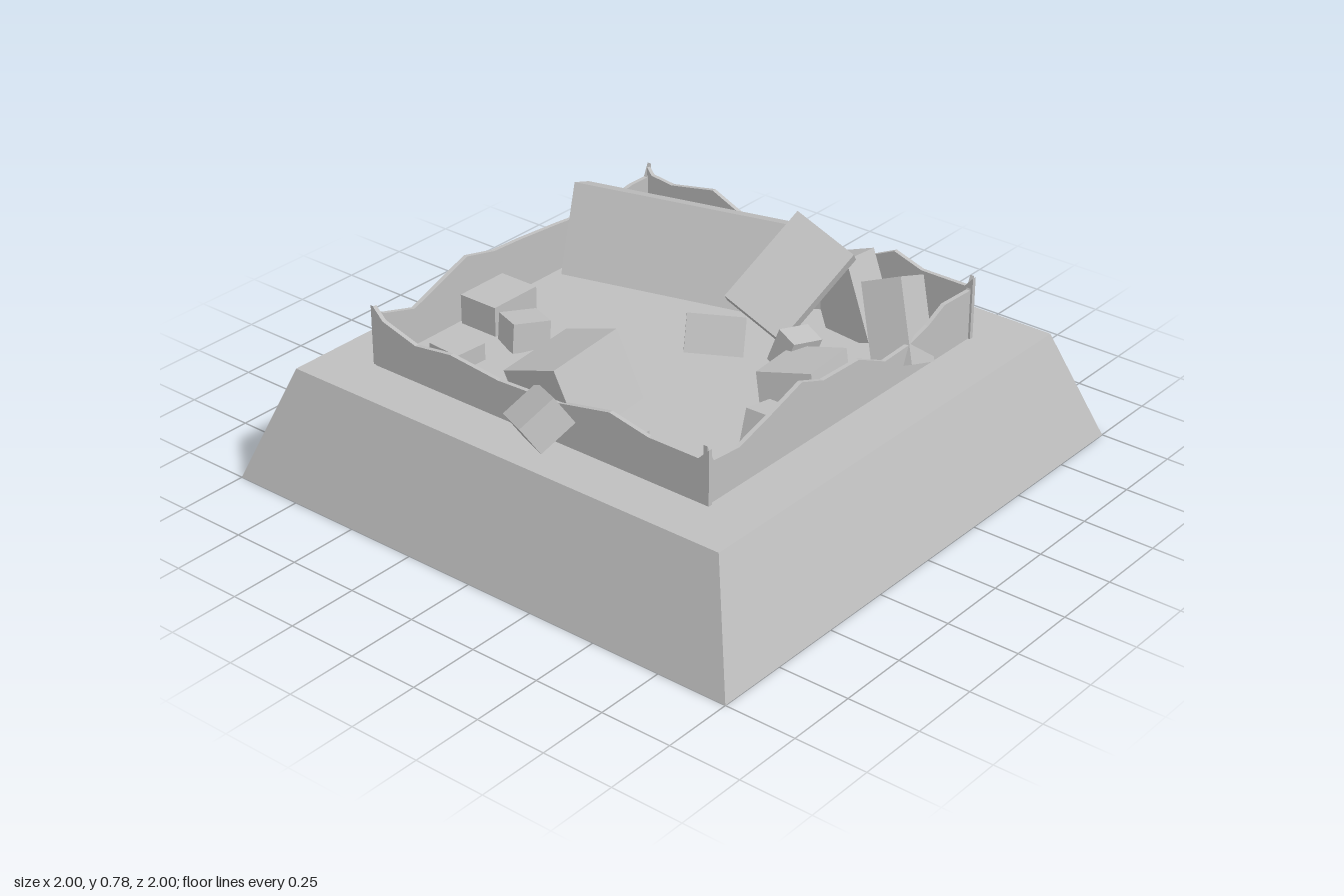
import * as THREE from 'three';

const FLOOR = 0.39;

export function createModel() {
  const model = new THREE.Group();
  const stone = new THREE.MeshStandardMaterial({ color: 0xbfbfbf, flatShading: true, side: THREE.DoubleSide });

  const add = (name, geometry, parent = model) => {
    const mesh = new THREE.Mesh(geometry, stone);
    mesh.name = name;
    parent.add(mesh);
    return mesh;
  };

  // Sloping base, open underneath, with a flat top
  const slope = new THREE.CylinderGeometry(0.86 * Math.SQRT2, Math.SQRT2, FLOOR, 4, 1, true);
  slope.rotateY(Math.PI / 4).translate(0, FLOOR / 2, 0);
  add('baseSlope', slope);
  add('baseTop', new THREE.PlaneGeometry(1.72, 1.72).rotateX(-Math.PI / 2).translate(0, FLOOR, 0));

  // Thin walls with a broken upper edge, given as [distance along, height]
  const wall = (name, profile, turn, x, z) => {
    const shape = new THREE.Shape();
    shape.moveTo(-0.68, FLOOR);
    profile.forEach(([u, y]) => shape.lineTo(u, y));
    shape.lineTo(0.68, FLOOR);
    const geometry = new THREE.ExtrudeGeometry(shape, { depth: 0.015, bevelEnabled: false });
    geometry.translate(0, 0, -0.0075).rotateY(turn).translate(x, 0, z);
    add(name, geometry);
  };
  wall('frontWall', [[-0.68, 0.59], [-0.65, 0.53], [-0.53, 0.52], [-0.39, 0.56], [-0.23, 0.61], [-0.12, 0.57],
    [0.06, 0.565], [0.2, 0.5], [0.33, 0.505], [0.43, 0.53], [0.52, 0.57], [0.66, 0.565], [0.68, 0.61]], 0, 0, 0.665);
  wall('backWall', [[-0.68, 0.6], [-0.64, 0.56], [-0.5, 0.52], [-0.25, 0.61], [-0.12, 0.58], [0, 0.575],
    [0.2, 0.56], [0.4, 0.54], [0.58, 0.565], [0.66, 0.565], [0.68, 0.61]], 0, 0, -0.685);
  wall('rightWall', [[-0.68, 0.61], [-0.65, 0.575], [-0.48, 0.575], [-0.37, 0.61], [-0.2, 0.53], [0.08, 0.525],
    [0.25, 0.54], [0.39, 0.6], [0.57, 0.565], [0.66, 0.575], [0.68, 0.6]], Math.PI / 2, 0.67, 0);
  wall('leftWall', [[-0.68, 0.58], [-0.64, 0.54], [-0.45, 0.54], [-0.3, 0.57], [-0.1, 0.53], [0.15, 0.52],
    [0.35, 0.54], [0.5, 0.52], [0.64, 0.56], [0.68, 0.6]], Math.PI / 2, -0.675, 0);

  // Leaning pieces defined by one corner and three edge vectors
  const leaning = (name, corner, a, b, c) => {
    let [u, v, w] = [a, b, c].map((e) => new THREE.Vector3(...e));
    if (u.clone().cross(v).dot(w) < 0) [u, v] = [v, u];
    const matrix = new THREE.Matrix4().makeBasis(u, v, w).setPosition(...corner);
    add(name, new THREE.BoxGeometry(1, 1, 1).translate(0.5, 0.5, 0.5).applyMatrix4(matrix));
  };
  leaning('fallenBeam', [0.16, 0.76, -0.57], [0.25, -0.03, 0.73], [0.115, -0.05, -0.04], [-0.12, -0.28, 0.04]);
  leaning('leaningSlab', [0.14, 0.56, 0.08], [0.28, 0.22, 0.075], [-0.01, -0.08, 0.235], [0.0255, -0.0295, -0.009]);

  // Scattered rubble: size, position, rotation
  const rubble = new THREE.Group();
  rubble.name = 'rubble';
  model.add(rubble);
  [
    ['largeBlock', [0.28, 0.24, 0.24], [-0.525, 0.5, 0.02], [-0.36, -0.08, 0.1]],
    ['outerLeftBlock', [0.14, 0.11, 0.16], [-0.73, 0.485, 0.06], [-0.2, -0.5, 0.5]],
    ['flatChip', [0.1, 0.05, 0.09], [-0.56, 0.41, 0.265], [0, 0.02, 0]],
    ['frontLeftBlock', [0.14, 0.14, 0.1], [-0.3, 0.45, 0.6], [0.05, 0.1, -0.25]],
    ['frontBlock', [0.26, 0.11, 0.19], [0.035, 0.45, 0.48], [-0.2, 0.22, -0.08]],
    ['middleBlock', [0.08, 0.12, 0.19], [0.03, 0.48, 0.13], [0.1, 0.65, -0.45]],
    ['backChip', [0.13, 0.1, 0.12], [-0.265, 0.43, -0.42], [-0.1, -0.42, -0.15]],
    ['backLeftChip', [0.12, 0.07, 0.13], [-0.49, 0.415, -0.505], [0, -0.07, 0]],
    ['backBlock', [0.2, 0.11, 0.15], [-0.2, 0.44, -0.59], [0, 0, 0]],
    ['outerBackBlock', [0.08, 0.1, 0.1], [-0.245, 0.455, -0.74], [0.6, -0.45, -0.2]],
    ['rightBlock', [0.13, 0.28, 0.18], [0.49, 0.5, 0.33], [-0.4, -0.1, -0.05]],
    ['cornerBlock', [0.17, 0.28, 0.14], [0.41, 0.52, 0.57], [-0.35, 0.25, -0.3]],
    ['rightChip', [0.09, 0.16, 0.1], [0.47, 0.52, 0.19], [-0.15, 0.2, 0]],
    ['slabChip', [0.12, 0.12, 0.08], [0.16, 0.45, 0.35], [0.3, -0.25, -0.1]],
    // Planks lying in the hollow beneath the floor
    ['lowerPlank', [0.07, 0.06, 0.62], [0.4, 0.04, 0.57], [0, 0.14, 0]],
    ['lowerCrossPlank', [0.36, 0.06, 0.07], [0.35, 0.05, 0.47], [0, 0.5, 0]],
  ].forEach(([name, size, position, rotation]) => {
    const mesh = add(name, new THREE.BoxGeometry(...size), rubble);
    mesh.position.set(...position);
    mesh.rotation.set(...rotation);
  });

  return model;
}
